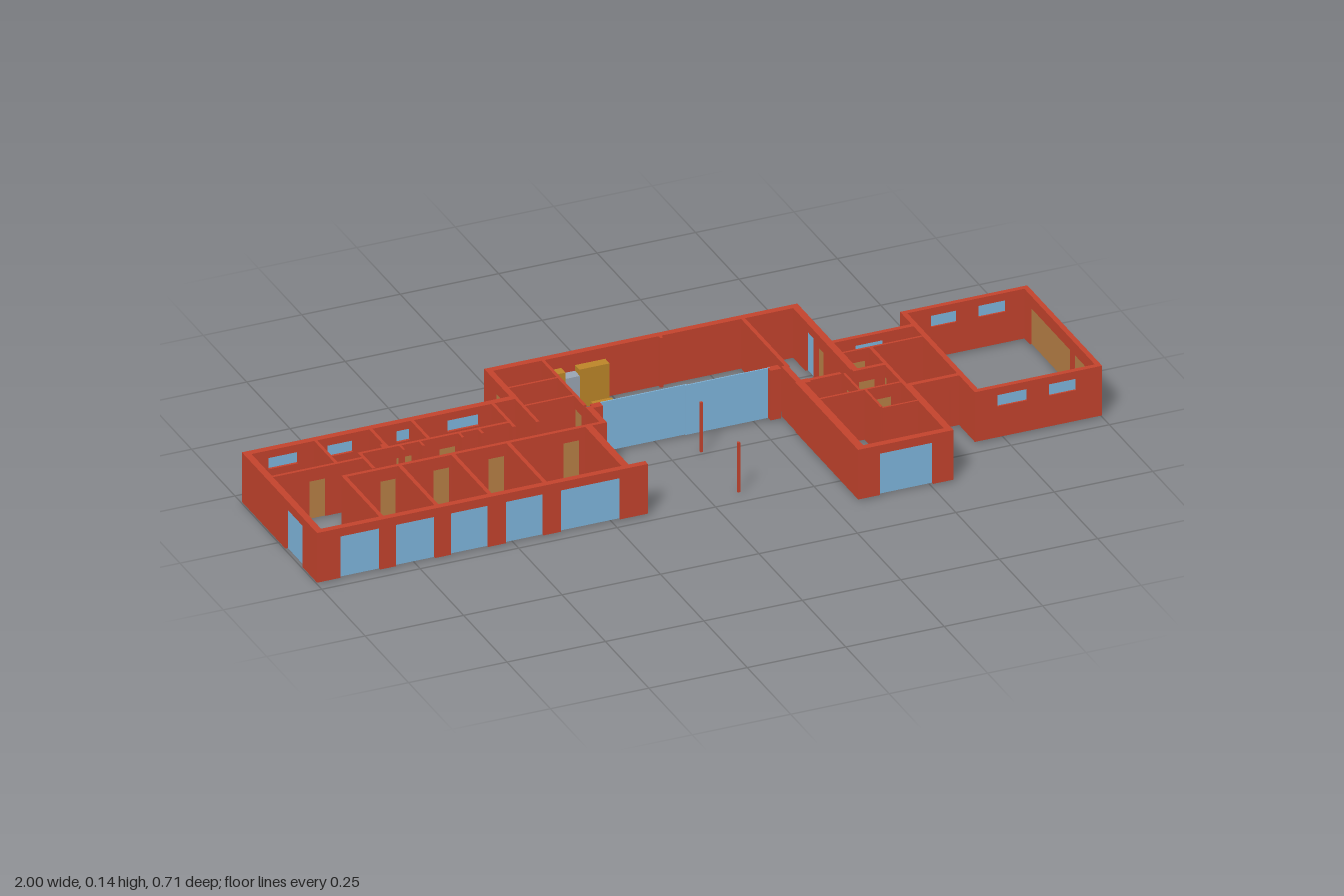
import * as THREE from 'three';

const BASE = 0.004, TOP = 0.135, DOOR = 0.103, PANE = 0.113;
const mat = (color) => new THREE.MeshStandardMaterial({ color });
const brick = mat(0xc4432d), glass = mat(0x7fb6dd), wood = mat(0xb88046);
const cabinet = mat(0xbd8628), tile = mat(0xbcb09a), steel = mat(0x9aa6b4);

export function createModel() {
  const house = new THREE.Group();
  house.name = 'house';

  // Box given by its limits
  function block(name, m, x0, x1, y0, y1, z0, z1, parent = house) {
    const mesh = new THREE.Mesh(new THREE.BoxGeometry(x1 - x0, y1 - y0, z1 - z0), m);
    mesh.position.set((x0 + x1) / 2, (y0 + y1) / 2, (z0 + z1) / 2);
    mesh.name = name;
    parent.add(mesh);
  }

  // Wall along x or z; openings are [start, end, sill, head, filling], left to right
  function wall(name, axis, a, b, c0, c1, openings = []) {
    const g = new THREE.Group();
    g.name = name;
    house.add(g);
    const put = (n, m, s, e, y0, y1, d0, d1) => {
      if (e - s < 1e-4 || y1 - y0 < 1e-4) return;
      if (axis === 'x') block(n, m, s, e, y0, y1, d0, d1, g);
      else block(n, m, d0, d1, y0, y1, s, e, g);
    };
    let at = a;
    const mid = (c0 + c1) / 2;
    for (const [s, e, sill, head, fill] of openings) {
      put('wallPiece', brick, at, s, BASE, TOP, c0, c1);
      put('underSill', brick, s, e, BASE, sill, c0, c1);
      put('lintel', brick, s, e, head, TOP, c0, c1);
      const label = fill === glass ? 'windowPane' : 'doorLeaf';
      put(label, fill, s, e, sill, head, mid - 0.002, mid + 0.002);
      at = e;
    }
    put('wallPiece', brick, at, b, BASE, TOP, c0, c1);
  }
  const tall = (s, e) => [s, e, BASE, PANE, glass];
  const high = (s, e) => [s, e, 0.085, 0.115, glass];
  const door = (s, e, m = wood) => [s, e, BASE, DOOR, m];

  // West bedroom wing, outer walls
  wall('bedroomFrontWall', 'x', -1, -0.16, 0.207, 0.223, [
    tall(-0.94, -0.84), tall(-0.80, -0.70), tall(-0.66, -0.565),
    tall(-0.52, -0.425), tall(-0.38, -0.23)]);
  wall('bedroomBackWall', 'x', -1, -0.305, -0.21, -0.193, [
    high(-0.94, -0.865), high(-0.79, -0.725), high(-0.615, -0.58), high(-0.485, -0.405)]);
  wall('bedroomWestWall', 'z', -0.21, 0.223, -1, -0.983, [tall(0.04, 0.14)]);
  wall('bedroomEastWall', 'z', -0.005, 0.215, -0.22, -0.202);

  // West wing partitions
  wall('corridorWall', 'x', -0.835, -0.165, -0.012, -0.002, [
    door(-0.74, -0.70), door(-0.605, -0.565), door(-0.465, -0.425), door(-0.275, -0.235)]);
  for (const x of [-0.83, -0.69, -0.555, -0.415])
    wall('bedroomPartition', 'z', -0.005, 0.21, x - 0.005, x + 0.005);
  wall('ensuiteWall', 'x', -0.985, -0.75, -0.077, -0.069, [door(-0.89, -0.85)]);
  wall('suiteEntryWall', 'z', -0.1, -0.015, -0.755, -0.747, [door(-0.066, -0.02)]);
  wall('bathFrontWall', 'x', -0.75, -0.37, -0.1, -0.092, [door(-0.66, -0.62), door(-0.55, -0.51)]);
  for (const [x, z] of [[-0.82, -0.075], [-0.68, -0.095], [-0.575, -0.095], [-0.37, -0.07]])
    wall('bathPartition', 'z', -0.195, z, x - 0.004, x + 0.004);
  for (const x of [-0.65, -0.60, -0.50, -0.45])
    wall('closetFin', 'z', -0.095, -0.07, x - 0.003, x + 0.003);
  block('ductPier', brick, -0.692, -0.678, BASE, TOP, -0.115, -0.1);

  // Central living block
  wall('livingBackWall', 'x', -0.32, 0.475, -0.357, -0.34);
  wall('livingWestWall', 'z', -0.357, -0.193, -0.32, -0.305, [door(-0.30, -0.255)]);
  wall('utilityWall', 'z', -0.195, -0.07, -0.314, -0.306);
  wall('livingEastWall', 'z', -0.357, -0.01, 0.457, 0.475, [
    tall(-0.27, -0.222), door(-0.207, -0.165)]);
  for (const z of [-0.25, -0.155])
    wall('utilityPartition', 'x', -0.306, -0.18, z - 0.003, z + 0.003);
  wall('kitchenSideWall', 'z', -0.345, -0.1, -0.182, -0.174, [door(-0.15, -0.11)]);
  wall('livingSideWall', 'z', -0.345, -0.085, 0.325, 0.335);
  wall('backWallStub', 'z', -0.34, -0.33, 0.115, 0.123);
  wall('entryWestWall', 'z', -0.09, -0.002, -0.18, -0.165);
  wall('entryEastWall', 'z', -0.09, -0.01, 0.317, 0.332);
  block('glazingPierWest', brick, -0.165, -0.14, BASE, TOP, -0.1, -0.08);
  block('glazingPierEast', brick, 0.285, 0.312, BASE, TOP, -0.1, -0.08);
  block('hallPier', brick, 0.317, 0.35, BASE, TOP, -0.012, 0.006);

  // Sliding glazed front of the living room: two overlapping panes
  block('slidingPaneWest', glass, -0.14, 0.08, BASE, TOP, -0.1, -0.097);
  block('slidingPaneEast', glass, 0.075, 0.29, BASE, TOP, -0.097, -0.094);

  // Terrace roof posts
  for (const z of [-0.005, 0.21])
    block('terracePost', brick, 0.073, 0.079, BASE, TOP, z - 0.003, z + 0.003);

  // East front wing
  wall('guestWestWall', 'z', -0.005, 0.355, 0.315, 0.335);
  wall('guestFrontWall', 'x', 0.315, 0.557, 0.34, 0.357, [tall(0.37, 0.505)]);
  wall('guestEastWall', 'z', 0.107, 0.355, 0.54, 0.557);
  wall('guestHallWall', 'z', -0.092, 0.11, 0.54, 0.549, [door(-0.02, 0.01, wood)]);
  wall('guestBackWall', 'x', 0.335, 0.43, -0.01, 0);
  wall('hallNib', 'x', 0.46, 0.54, -0.01, 0, [door(0.475, 0.515)]);
  wall('guestBathFront', 'x', 0.335, 0.54, 0.088, 0.094, [door(0.475, 0.515)]);
  wall('guestBathSide', 'z', 0, 0.09, 0.434, 0.44, [door(0.02, 0.06)]);
  wall('wardrobeSide', 'z', 0.094, 0.185, 0.447, 0.453);
  wall('wardrobeFront', 'x', 0.45, 0.54, 0.187, 0.192);

  // Link between the wings
  wall('linkBackWall', 'x', 0.47, 0.685, -0.158, -0.146, [high(0.53, 0.60)]);
  wall('linkPartition', 'x', 0.475, 0.68, -0.097, -0.091, [door(0.49, 0.53)]);
  wall('linkFrontWall', 'x', 0.55, 0.68, 0.105, 0.117, [door(0.58, 0.655, brick)]);

  // Garage
  wall('garageWestWall', 'z', -0.223, 0.207, 0.677, 0.69, [door(-0.143, -0.1)]);
  wall('garageBackWall', 'x', 0.677, 1, -0.223, -0.21, [high(0.75, 0.815), high(0.87, 0.94)]);
  wall('garageFrontWall', 'x', 0.677, 1, 0.195, 0.208, [high(0.735, 0.81), high(0.865, 0.935)]);
  wall('garageEastWall', 'z', -0.223, 0.208, 0.987, 1, [door(-0.178, 0.052), door(0.072, 0.164)]);

  // Tiled bathroom floors
  block('bathFloor', tile, -0.575, -0.37, 0, 0.003, -0.19, -0.095);
  block('guestBathFloor', tile, 0.335, 0.435, 0, 0.003, 0, 0.09);

  // Kitchen
  block('kitchenIsland', cabinet, -0.093, -0.04, BASE, 0.048, -0.258, -0.153);
  block('sideCounter', cabinet, -0.174, -0.147, BASE, 0.048, -0.26, -0.153);
  block('tallCabinet', cabinet, -0.174, -0.132, BASE, 0.105, -0.34, -0.315);
  block('fridge', steel, -0.132, -0.097, BASE, 0.09, -0.34, -0.312);
  block('tallCabinet', cabinet, -0.097, -0.02, BASE, 0.105, -0.34, -0.315);

  return house;
}
